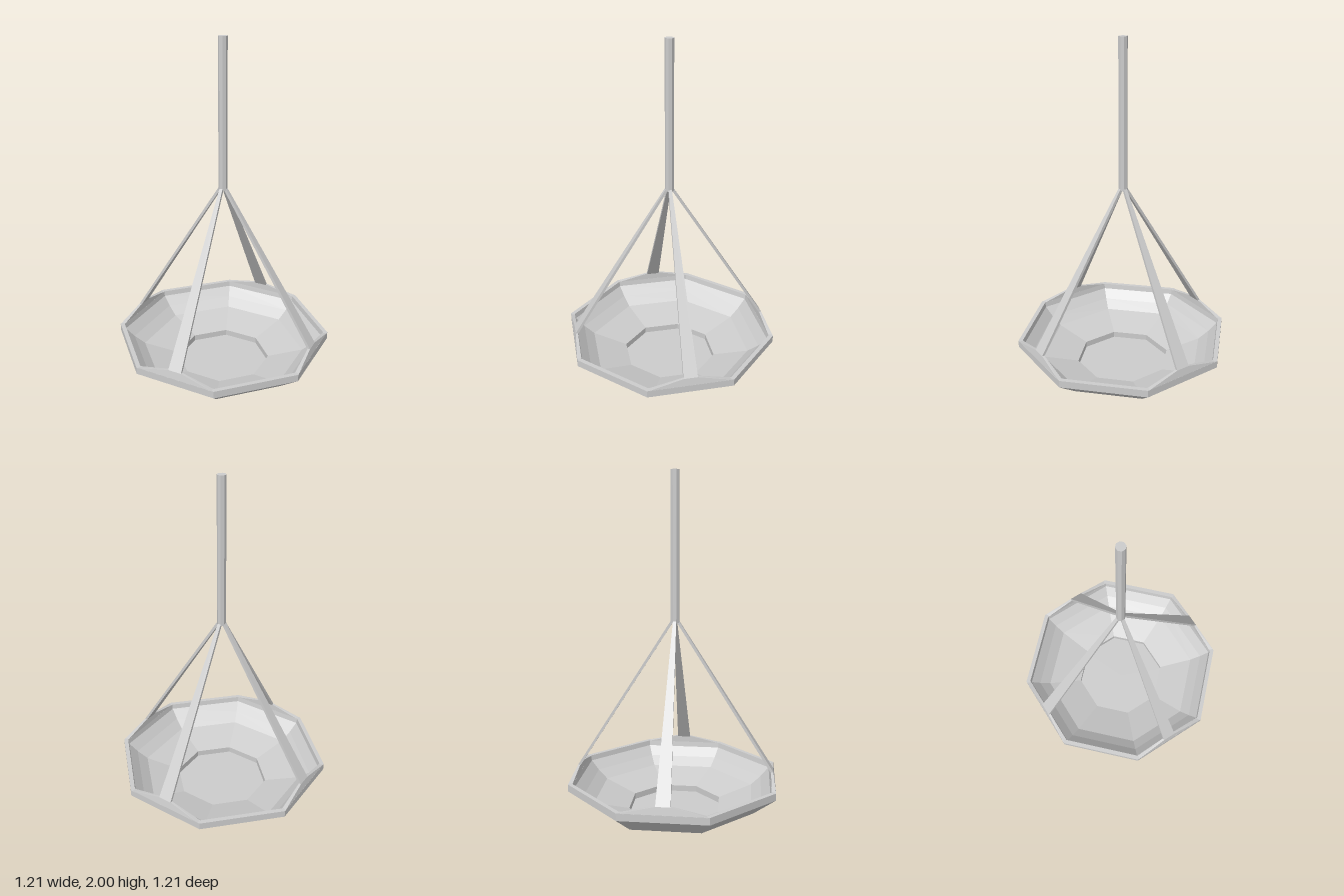
import * as THREE from 'three';
import { ConvexGeometry } from 'three/addons/geometries/ConvexGeometry.js';

const SIDES = 8;

export function createModel() {
  const group = new THREE.Group();
  const material = new THREE.MeshStandardMaterial({ color: 0xcccccc, flatShading: true });

  const add = (name, geometry, parent = group) => {
    const mesh = new THREE.Mesh(geometry, material);
    mesh.name = name;
    parent.add(mesh);
    return mesh;
  };

  // Octagonal bowl: up the outside, over the rim, down the inside to the sunken pan
  const profile = [
    [0, 0.115], [0.29, 0.115], [0.29, 0.145], [0.48, 0.2], [0.605, 0.3], [0.605, 0.34],
    [0.58, 0.34], [0.575, 0.31], [0.525, 0.26], [0.465, 0.215], [0.267, 0.16], [0.267, 0.125], [0, 0.125],
  ].map(([r, y]) => new THREE.Vector2(r, y));
  add('bowl', new THREE.LatheGeometry(profile, SIDES));

  // Pointed finial under the bowl
  const finial = add('finial', new THREE.ConeGeometry(0.066, 0.118, SIDES));
  finial.rotation.x = Math.PI;
  finial.position.y = 0.062;

  // Hanging pole
  const pole = add('pole', new THREE.CylinderGeometry(0.024, 0.024, 0.8, SIDES));
  pole.position.y = 1.6;

  // Points mirrored across the middle of a bowl side; the side faces +x here
  const mirrored = (points) => points.flatMap(([x, y, z]) => [
    new THREE.Vector3(x, y, z), new THREE.Vector3(x, y, -z),
  ]);

  // Raised rim bracket and tapered strap on every second side
  const bracketGeometry = new ConvexGeometry(mirrored([
    [0.559, 0.338, 0.231], [0.536, 0.338, 0.222],
    [0.55, 0.38, 0.038], [0.537, 0.38, 0.038],
  ]));
  const strapGeometry = new ConvexGeometry(mirrored([
    [0.55, 0.38, 0.038], [0.537, 0.375, 0.038],
    [0.023, 1.21, 0.009], [0.012, 1.2, 0.009],
  ]));
  for (let i = 0; i < 4; i++) {
    const hanger = new THREE.Group();
    hanger.name = 'hanger';
    hanger.rotation.y = -Math.PI / 8 + i * Math.PI / 2;
    add('rimBracket', bracketGeometry, hanger);
    add('strap', strapGeometry, hanger);
    group.add(hanger);
  }

  return group;
}
